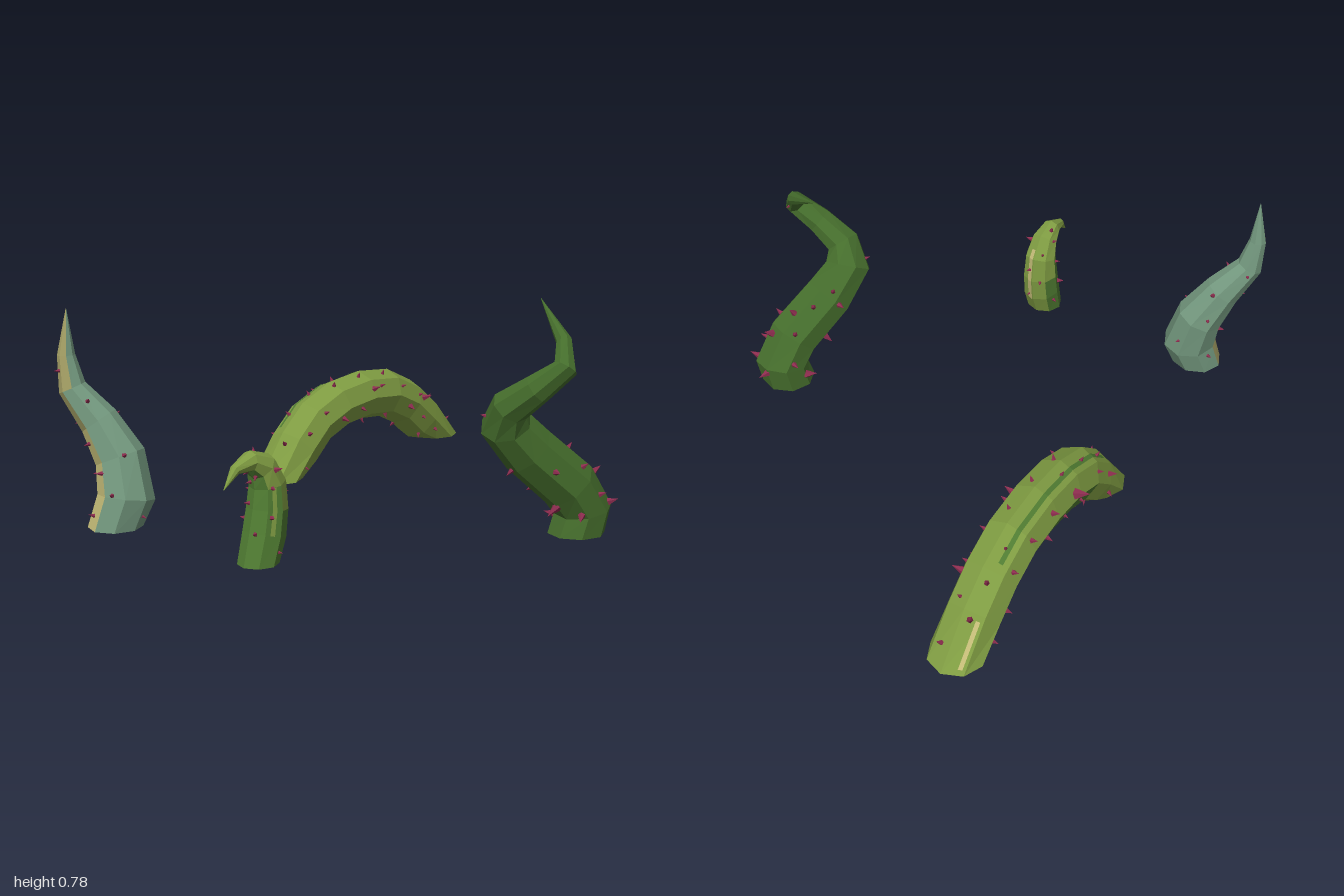
import * as THREE from 'three';
import { mergeGeometries } from 'three/addons/utils/BufferGeometryUtils.js';

const SIDES = 8;
const V = (x, y, z) => new THREE.Vector3(x, y, z);

// Rings around a spine of [x, y, z, radius]; cut level with the ground where it starts (and ends, if asked).
function makeRings(spine, endsOnGround) {
  const c = spine.map(p => V(p[0], p[1], p[2]));
  const normal = V(1, 0, 0);
  let last = V(0, 1, 0);
  return spine.map((p, i) => {
    const t = c[Math.min(i + 1, c.length - 1)].clone().sub(c[i]).normalize();
    if (i > 0) t.add(c[i].clone().sub(c[i - 1]).normalize()).normalize();
    if (i === 0) t.set(0, 1, 0);
    if (endsOnGround && i === c.length - 1) t.set(0, -1, 0);
    normal.applyQuaternion(new THREE.Quaternion().setFromUnitVectors(last, t));
    last = t;
    const side = t.clone().cross(normal);
    return Array.from({ length: SIDES }, (_, k) => {
      const a = (k / SIDES) * Math.PI * 2;
      return c[i].clone().addScaledVector(normal, Math.cos(a) * p[3]).addScaledVector(side, Math.sin(a) * p[3]);
    });
  });
}

function fromPoints(points) {
  const geo = new THREE.BufferGeometry().setFromPoints(points);
  geo.computeVertexNormals();
  return geo;
}

// Faceted open skin; pick(side, ring) gives the material index of each face.
function makeSkin(rings, pick) {
  const points = [], groups = [];
  for (let k = 0; k < SIDES; k++) {
    const j = (k + 1) % SIDES;
    for (let i = 0; i < rings.length - 1; i++) {
      const a = rings[i][k], b = rings[i][j], c = rings[i + 1][j], d = rings[i + 1][k];
      groups.push([points.length, 6, pick(k, i)]);
      points.push(a, b, c, a, c, d);
    }
  }
  const geo = fromPoints(points);
  groups.forEach(g => geo.addGroup(...g));
  return geo;
}

// Point and outward direction on a face: side k, w across it, u along the rings.
function onFace(rings, k, w, u) {
  const r = Math.min(Math.floor(u), rings.length - 2), j = (k + 1) % SIDES;
  const low = rings[r][k].clone().lerp(rings[r][j], w);
  const high = rings[r + 1][k].clone().lerp(rings[r + 1][j], w);
  const out = rings[r][j].clone().sub(rings[r][k]).cross(high.clone().sub(low)).normalize();
  return { at: low.lerp(high, u - r), out };
}

// Thin painted strip just above one side, from u0 to u1 along the rings.
function makeStrip(rings, [k, w0, w1, u0, u1]) {
  const stops = [u0];
  for (let u = Math.floor(u0) + 1; u < u1; u++) stops.push(u);
  stops.push(u1);
  const edge = (w, u) => {
    const { at, out } = onFace(rings, k, w, u);
    return at.addScaledVector(out, 0.003);
  };
  const points = [];
  for (let i = 0; i < stops.length - 1; i++) {
    const a = edge(w0, stops[i]), b = edge(w1, stops[i]), c = edge(w1, stops[i + 1]), d = edge(w0, stops[i + 1]);
    points.push(a, b, c, a, c, d);
  }
  return fromPoints(points);
}

// Evenly scattered thorn places as [side, w, u, size].
function scatter(count, size, from, to) {
  return Array.from({ length: count }, (_, i) => [
    (i * 3 + Math.floor(i / 8)) % SIDES,
    0.25 + 0.5 * ((i * 0.618) % 1),
    from + (to - from) * (i + 0.5) / count,
    size * (i % 9 === 4 ? 1.4 : 0.8 + 0.4 * ((i * 0.37) % 1)),
  ]);
}

// Small cones standing along each face normal.
function makeThorns(rings, places) {
  return mergeGeometries(places.map(([k, w, u, s]) => {
    const { at, out } = onFace(rings, k, w, u);
    const cone = new THREE.ConeGeometry(0.011 * s, 0.03 * s, 5).toNonIndexed();
    cone.translate(0, 0.012 * s, 0);
    cone.applyQuaternion(new THREE.Quaternion().setFromUnitVectors(V(0, 1, 0), out));
    cone.translate(at.x, at.y, at.z);
    cone.computeVertexNormals();
    return cone;
  }));
}

export function createModel() {
  const material = (name, color) => {
    const m = new THREE.MeshStandardMaterial({ color, side: THREE.DoubleSide });
    m.name = name;
    return m;
  };
  const teal = material('paleTeal', 0x74997f);
  const cream = material('cream', 0xc2ba76);
  const olive = material('oliveCream', 0xa5a065);
  const lightGreen = material('lightGreen', 0x7f9c42);
  const midGreen = material('midGreen', 0x507c32);
  const darkGreen = material('darkGreen', 0x456d2c);
  const maroon = material('thornMaroon', 0x8c2c4e);

  const model = new THREE.Group();
  model.name = 'thornyTentacles';
  function addTentacle({ name, spine, mats, pick, thorns, strips = [], endsOnGround = false }) {
    const group = new THREE.Group();
    group.name = name;
    const rings = makeRings(spine, endsOnGround);
    const add = (part, geo, mat) => {
      const mesh = new THREE.Mesh(geo, mat);
      mesh.name = name + part;
      group.add(mesh);
    };
    add('Body', makeSkin(rings, pick), mats);
    add('Thorns', makeThorns(rings, thorns), maroon);
    strips.forEach(([mat, ...area]) => add('Strip', makeStrip(rings, area), mat));
    model.add(group);
  }

  // Pale S-shaped tentacle with a cream front stripe
  addTentacle({
    name: 'paleTentacle',
    spine: [
      [-0.60, 0, 0.84, 0.092], [-0.575, 0.1, 0.81, 0.096], [-0.61, 0.23, 0.80, 0.085],
      [-0.675, 0.35, 0.83, 0.066], [-0.75, 0.46, 0.875, 0.047], [-0.766, 0.57, 0.882, 0.03],
      [-0.76, 0.725, 0.88, 0.001],
    ],
    mats: [teal, olive, cream],
    pick: (k, i) => (k === 5 && i < 3 ? 2 : k === 4 || k === 5 || (k === 6 && i > 3) ? 1 : 0),
    thorns: [...scatter(12, 0.75, 0.3, 4), [5, 0.4, 0.4, 0.8], [5, 0.9, 1.7, 0.9], [5, 0.5, 4.6, 0.7]],
  });

  // Long arch with both ends in the ground
  addTentacle({
    name: 'archTentacle',
    spine: [
      [-0.605, 0, 0.04, 0.095], [-0.605, 0.1, -0.06, 0.094], [-0.605, 0.18, -0.155, 0.094],
      [-0.605, 0.225, -0.28, 0.094], [-0.605, 0.24, -0.43, 0.094], [-0.605, 0.225, -0.58, 0.094],
      [-0.605, 0.17, -0.70, 0.094], [-0.605, 0.09, -0.80, 0.094], [-0.605, 0, -0.905, 0.095],
    ],
    mats: [lightGreen, midGreen],
    pick: (k, i) => (k === 3 && i > 1 && i < 6 ? 1 : 0),
    thorns: [...scatter(44, 0.8, 0.4, 7.7), [4, 0.3, 3.2, 2], [7, 0.4, 6.2, 1.4], [7, 0.5, 4, 1.2]],
    strips: [[midGreen, 5, 0.28, 0.5, 1.2, 5.8], [cream, 5, 0.15, 0.35, 7.1, 7.9]],
    endsOnGround: true,
  });

  // Short hooked tentacle, mid green with lighter patches and tip
  addTentacle({
    name: 'hookTentacle',
    spine: [
      [0.06, 0, 0.85, 0.066], [0.06, 0.09, 0.82, 0.069], [0.06, 0.17, 0.805, 0.066],
      [0.06, 0.25, 0.803, 0.059], [0.06, 0.308, 0.83, 0.049], [0.06, 0.333, 0.88, 0.034],
      [0.06, 0.318, 0.945, 0.017], [0.06, 0.265, 0.995, 0.001],
    ],
    mats: [midGreen, lightGreen],
    pick: (k, i) => {
      if (k === 5 || k === 6) return i > 5 ? 1 : 0;
      return i > 2 || k === 1 || k === 2 || ((k === 3 || k === 0) && i > 1) ? 1 : 0;
    },
    thorns: scatter(18, 0.7, 0.35, 4.9),
    strips: [[cream, 1, 0.55, 0.95, 1, 3.4], [lightGreen, 7, 0.3, 0.6, 1, 3]],
  });

  // Tall dark twisting tentacle
  addTentacle({
    name: 'tallTentacle',
    spine: [
      [0.645, 0, -0.055, 0.096], [0.657, 0.08, -0.072, 0.097], [0.637, 0.17, -0.015, 0.096],
      [0.565, 0.3, 0.115, 0.092], [0.533, 0.395, 0.195, 0.085], [0.575, 0.463, 0.228, 0.063],
      [0.67, 0.53, 0.22, 0.05], [0.75, 0.6, 0.185, 0.04], [0.70, 0.67, 0.12, 0.026],
      [0.53, 0.775, 0, 0.001],
    ],
    mats: [darkGreen],
    pick: () => 0,
    thorns: [
      [4, 0.1, 0.6, 1.5], [4, 0.6, 2.3, 1.3], [5, 0.5, 3, 1], [5, 0.9, 1.9, 1.6], [6, 0.8, 1.2, 1.3],
      [7, 0.3, 2.6, 1.1], [4, 0.3, 4.3, 0.7], [0, 0.2, 1.5, 1], [0, 0.5, 2.2, 1], [1, 0.3, 1.8, 1.5],
      [1, 0.7, 2.4, 1.2], [1, 0.9, 0.8, 1.3], [2, 0.3, 2.7, 1], [2, 0.5, 2.1, 1], [2, 0.6, 3.2, 0.9],
      [3, 0.3, 3, 1.1], [3, 0.2, 1.3, 1.1], [0, 0.8, 1.1, 1.3], [0, 0.5, 7.5, 0.5],
    ],
  });

  return model;
}
